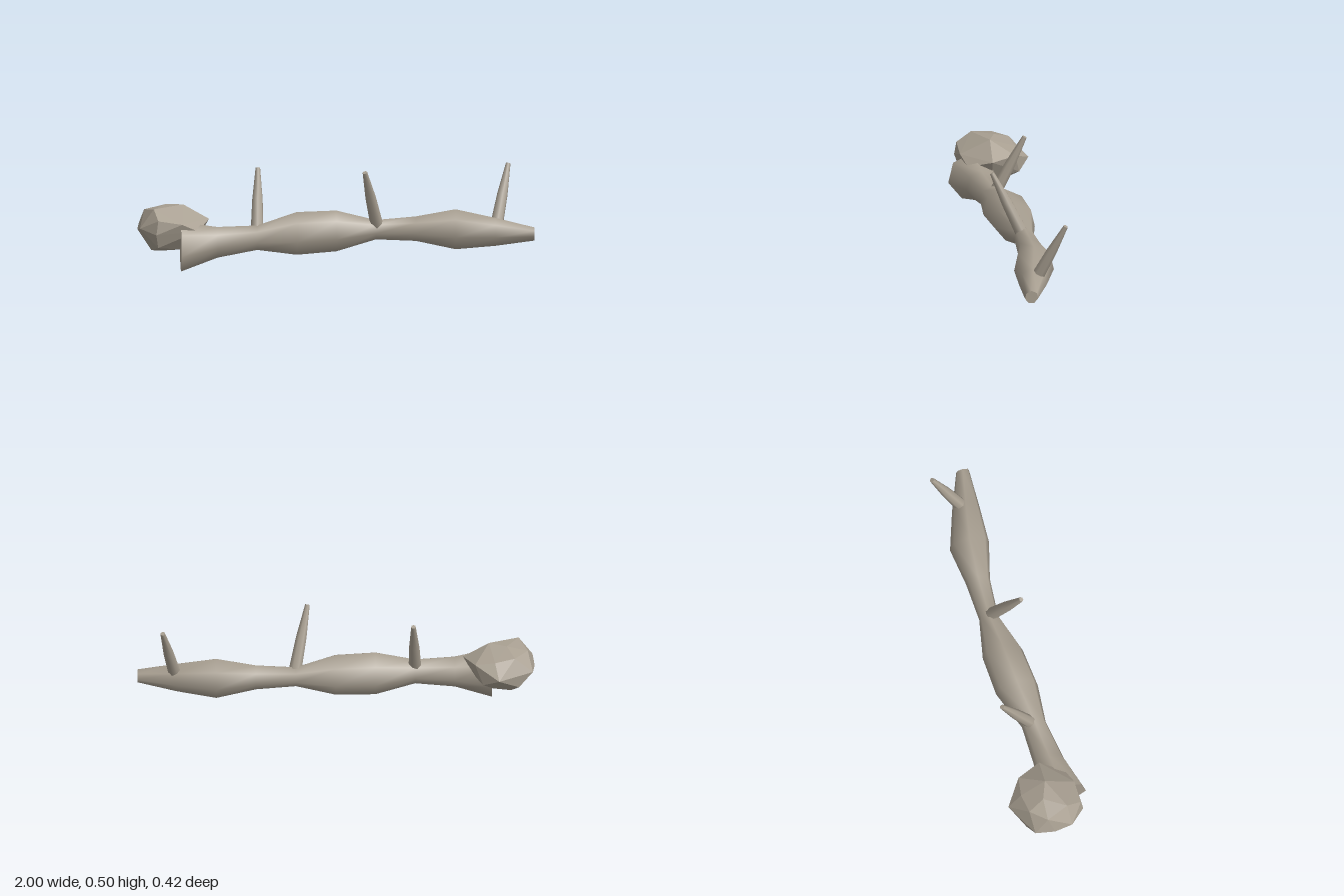
import * as THREE from 'three';
import { ConvexGeometry } from 'three/addons/geometries/ConvexGeometry.js';

const SIDES = 7;

// Trunk cross-sections: x, centre y, centre z, radius
const RINGS = [
  [-0.785, 0.114, 0.085, 0.127],
  [-0.6, 0.131, 0.06, 0.079],
  [-0.4, 0.147, 0.03, 0.063],
  [-0.2, 0.159, -0.01, 0.11],
  [0, 0.165, -0.037, 0.105],
  [0.2, 0.165, -0.062, 0.05],
  [0.4, 0.167, -0.07, 0.063],
  [0.6, 0.163, -0.067, 0.103],
  [0.8, 0.154, -0.04, 0.072],
  [0.995, 0.148, -0.01, 0.034],
];

// Smooth seven-sided tube through the cross-sections
function trunkGeometry() {
  const positions = [];
  const index = [];
  RINGS.forEach(([x, y, z, r], i) => {
    for (let j = 0; j < SIDES; j++) {
      const a = (j / SIDES) * Math.PI * 2;
      positions.push(x, y + r * Math.cos(a), z + r * Math.sin(a));
      if (i === RINGS.length - 1) continue;
      const p = i * SIDES + j;
      const q = i * SIDES + ((j + 1) % SIDES);
      index.push(p, q, p + SIDES, q, q + SIDES, p + SIDES);
    }
  });
  const geometry = new THREE.BufferGeometry();
  geometry.setAttribute('position', new THREE.Float32BufferAttribute(positions, 3));
  geometry.setIndex(index);
  geometry.computeVertexNormals();
  return geometry;
}

export function createModel() {
  const group = new THREE.Group();
  const wood = new THREE.MeshStandardMaterial({ color: 0xa89f91 });
  wood.name = 'weathered wood';
  const woodFaceted = wood.clone();
  woodFaceted.flatShading = true;

  const add = (geometry, name, material = wood) => {
    const mesh = new THREE.Mesh(geometry, material);
    mesh.name = name;
    group.add(mesh);
    return mesh;
  };

  add(trunkGeometry(), 'trunk');

  // Flat cut faces at both ends
  const addCap = ([x, y, z, r], side, name) => {
    const cap = new THREE.CircleGeometry(r, SIDES, Math.PI / 2);
    cap.rotateY((side * Math.PI) / 2);
    add(cap, name).position.set(x, y, z);
  };
  addCap(RINGS[0], -1, 'rootEndCap');
  addCap(RINGS[RINGS.length - 1], 1, 'tipEndCap');

  // Tapered branch stubs
  const addBranch = (name, from, to) => {
    const start = new THREE.Vector3(...from);
    const direction = new THREE.Vector3(...to).sub(start);
    const length = direction.length();
    const profile = [[0.034, 0], [0.027, 0.55], [0.012, 1]].map(
      ([r, t]) => new THREE.Vector2(r, t * length));
    const branch = new THREE.Group();
    branch.name = name;
    const stub = new THREE.Mesh(new THREE.LatheGeometry(profile, SIDES), wood);
    stub.name = 'branchStub';
    const cap = new THREE.Mesh(new THREE.CircleGeometry(0.012, SIDES, Math.PI / 2), wood);
    cap.name = 'branchCap';
    cap.geometry.rotateX(-Math.PI / 2);
    cap.geometry.rotateY(Math.PI - Math.PI / 1);
    cap.geometry.rotateY(Math.PI);
    cap.position.y = length;
    branch.add(stub, cap);
    branch.position.copy(start);
    branch.quaternion.setFromUnitVectors(new THREE.Vector3(0, 1, 0), direction.normalize());
    group.add(branch);
  };
  addBranch('rootBranch', [-0.4, 0.147, 0.03], [-0.39, 0.472, -0.132]);
  addBranch('middleBranch', [0.21, 0.165, -0.062], [0.14, 0.49, 0.092]);
  addBranch('tipBranch', [0.8, 0.154, -0.045], [0.87, 0.473, -0.197]);

  // Faceted root ball
  const rootPoints = [
    [-0.82, 0.195, -0.2], [-1, 0.19, 0], [-0.99, 0.2, -0.1], [-0.99, 0.21, 0.09],
    [-0.965, 0.285, -0.03], [-0.92, 0.306, 0.08], [-0.86, 0.31, -0.03], [-0.77, 0.315, 0],
    [-0.64, 0.24, 0], [-0.9, 0.26, 0.155], [-0.91, 0.19, 0.165], [-0.78, 0.24, 0.15],
    [-0.7, 0.2, 0.12], [-0.7, 0.25, -0.12], [-0.74, 0.15, -0.145], [-0.93, 0.085, 0.02],
    [-0.88, 0.07, -0.04], [-0.79, 0.1, 0.08], [-0.79, 0.1, -0.08], [-0.9, 0.12, 0.14],
    [-0.92, 0.13, -0.13], [-0.8, 0.265, -0.13], [-0.9, 0.28, -0.11], [-0.7, 0.13, 0],
  ].map((p) => new THREE.Vector3(...p));
  add(new ConvexGeometry(rootPoints), 'rootBall', woodFaceted);

  return group;
}
